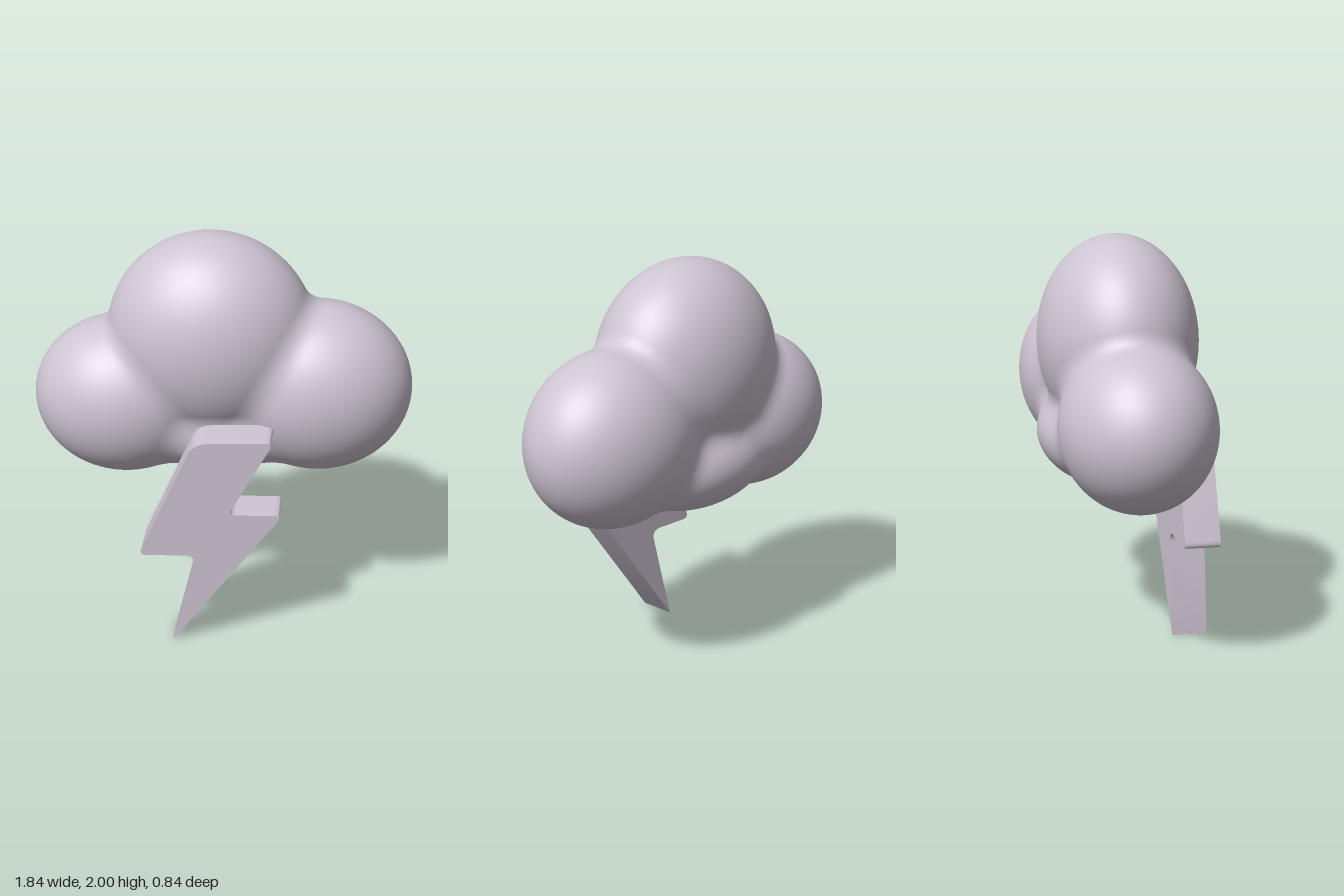
import * as THREE from 'three';
import { toCreasedNormals } from 'three/addons/utils/BufferGeometryUtils.js';

// Cloud puffs: centre and radii of each ellipsoid
const puffs = [
  { c: [-0.05, 1.5, -0.04], r: [0.5, 0.5, 0.38] },
  { c: [-0.48, 1.16, -0.05], r: [0.44, 0.395, 0.367] },
  { c: [0.46, 1.245, -0.05], r: [0.46, 0.425, 0.365] },
  { c: [-0.02, 1.04, -0.09], r: [0.46, 0.25, 0.33] },
];
const BLEND = 0.07;

// Approximate distance to one ellipsoid
function puffDistance(p, { c, r }) {
  const d = [p.x - c[0], p.y - c[1], p.z - c[2]];
  const k0 = Math.hypot(d[0] / r[0], d[1] / r[1], d[2] / r[2]);
  const k1 = Math.hypot(d[0] / r[0] ** 2, d[1] / r[1] ** 2, d[2] / r[2] ** 2);
  return k1 < 1e-6 ? -Math.min(...r) : (k0 * (k0 - 1)) / k1;
}

// Smooth union of all puffs
function cloudDistance(p) {
  return puffs.map((e) => puffDistance(p, e)).reduce((a, b) => {
    const h = Math.max(BLEND - Math.abs(a - b), 0) / BLEND;
    return Math.min(a, b) - (h * h * BLEND) / 4;
  });
}

// A sphere whose vertices are pushed out along rays to the blended surface
function cloudGeometry() {
  const geo = new THREE.SphereGeometry(1, 200, 140);
  const pos = geo.attributes.position;
  const centre = new THREE.Vector3(-0.03, 1.2, -0.05);
  const dir = new THREE.Vector3();
  const p = new THREE.Vector3();
  const n = new THREE.Vector3();
  const e = 0.002;
  for (let i = 0; i < pos.count; i++) {
    dir.fromBufferAttribute(pos, i).normalize();
    let near = 0;
    let far = 1.3;
    for (let k = 0; k < 22; k++) {
      const mid = (near + far) / 2;
      p.copy(centre).addScaledVector(dir, mid);
      if (cloudDistance(p) < 0) near = mid;
      else far = mid;
    }
    pos.setXYZ(i, p.x, p.y, p.z);
    ['x', 'y', 'z'].forEach((axis) => {
      const a = p.clone();
      const b = p.clone();
      a[axis] += e;
      b[axis] -= e;
      n[axis] = cloudDistance(a) - cloudDistance(b);
    });
    n.normalize();
    geo.attributes.normal.setXYZ(i, n.x, n.y, n.z);
  }
  return geo;
}

// Closed outline from corners [x, y, rounding length]
function roundedShape(corners) {
  const shape = new THREE.Shape();
  corners.forEach(([x, y, d], i) => {
    const at = new THREE.Vector2(x, y);
    const toward = (j) => {
      const q = corners[(j + corners.length) % corners.length];
      const v = new THREE.Vector2(q[0], q[1]).sub(at).normalize();
      return at.clone().addScaledVector(v, d);
    };
    const a = toward(i - 1);
    const b = toward(i + 1);
    if (i === 0) shape.moveTo(a.x, a.y);
    else shape.lineTo(a.x, a.y);
    shape.quadraticCurveTo(x, y, b.x, b.y);
  });
  shape.closePath();
  return shape;
}

export function createModel() {
  const model = new THREE.Group();
  model.name = 'stormCloud';
  const paleLilac = new THREE.MeshStandardMaterial({ color: 0xcdc4d1 });
  paleLilac.name = 'paleLilac';

  const cloud = new THREE.Mesh(cloudGeometry(), paleLilac);
  cloud.name = 'cloud';
  model.add(cloud);

  // Lightning bolt, leaning slightly forward at the top
  const outline = roundedShape([
    [-0.202, -0.005, 0.008],
    [0.335, 0.76, 0.045],
    [0.073, 0.747, 0.04],
    [0.285, 1.152, 0.04],
    [-0.09, 1.13, 0.07],
    [-0.365, 0.493, 0.045],
    [-0.083, 0.508, 0.06],
  ]);
  const boltGeo = new THREE.ExtrudeGeometry(outline, { depth: 0.18, bevelEnabled: false, curveSegments: 8 });
  const bolt = new THREE.Mesh(toCreasedNormals(boltGeo, 0.6), paleLilac);
  bolt.name = 'lightningBolt';
  bolt.rotation.x = 0.032;
  bolt.position.set(0, 0.011, 0.205);
  model.add(bolt);

  return model;
}
